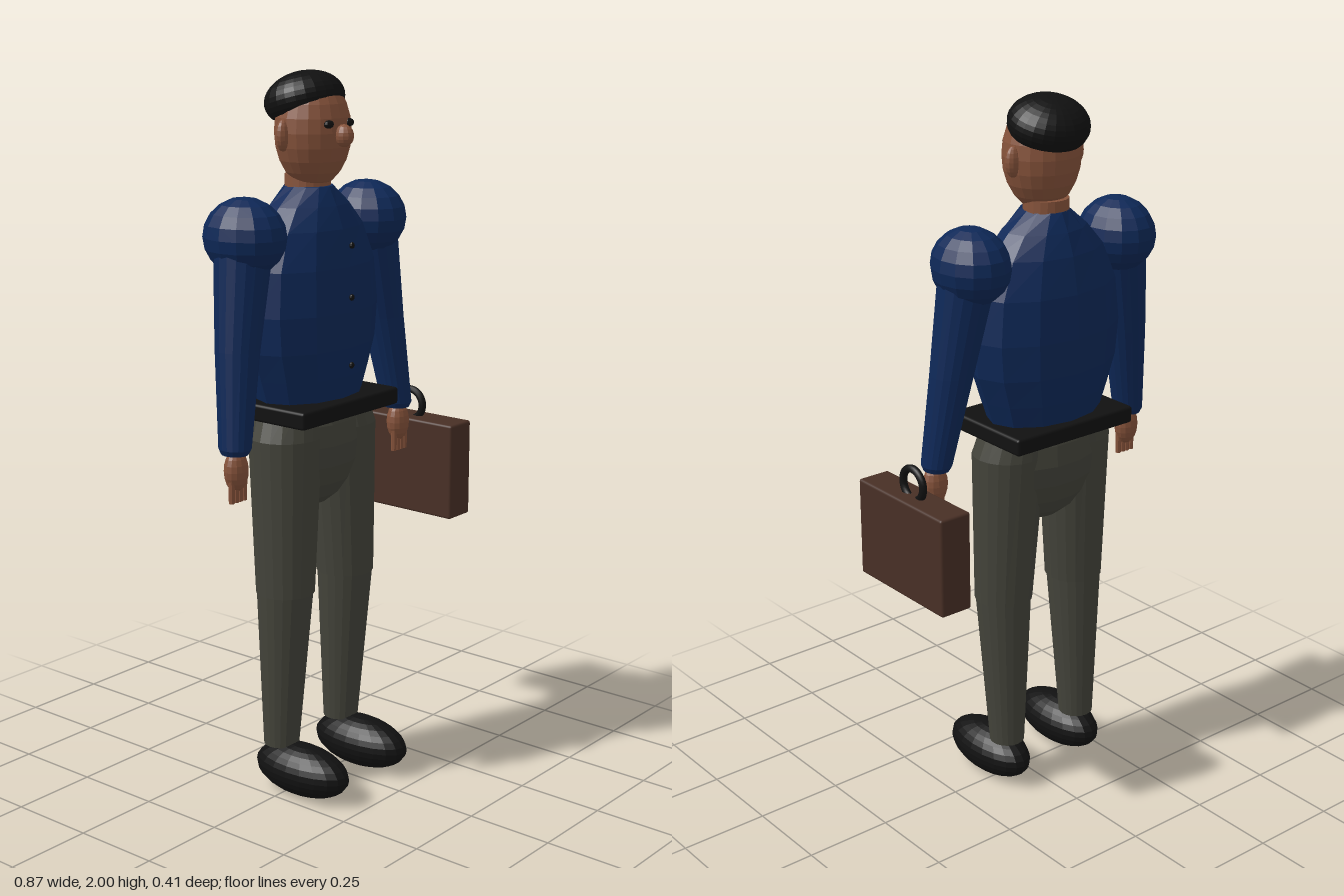
import * as THREE from 'three';
import { RoundedBoxGeometry } from 'three/addons/geometries/RoundedBoxGeometry.js';

const mat = (name, color) => Object.assign(new THREE.MeshStandardMaterial({ color }), { name });

// Faceted normals
function facet(geo) {
  const g = geo.index ? geo.toNonIndexed() : geo;
  g.computeVertexNormals();
  return g;
}

// Closed skin over elliptical rings [x, y, z, rx, rz], listed from top to bottom
function loft(rings, seg) {
  const first = rings[0], last = rings[rings.length - 1];
  const all = [[...first.slice(0, 3), 0, 0], ...rings, [...last.slice(0, 3), 0, 0]];
  const pos = [], idx = [];
  all.forEach(([x, y, z, rx, rz], i) => {
    for (let j = 0; j < seg; j++) {
      const a = (j / seg) * Math.PI * 2;
      pos.push(x + Math.sin(a) * rx, y, z + Math.cos(a) * rz);
      if (i === all.length - 1) continue;
      const A = i * seg + j, B = i * seg + ((j + 1) % seg);
      if (i > 0) idx.push(A, A + seg, B);
      if (i < all.length - 2) idx.push(B, A + seg, B + seg);
      else idx.pop(), idx.pop(), idx.pop(), idx.push(A, A + seg, B);
    }
  });
  const g = new THREE.BufferGeometry();
  g.setAttribute('position', new THREE.Float32BufferAttribute(pos, 3));
  g.setIndex(idx);
  return facet(g);
}

export function createModel() {
  const skin = mat('skin', 0x85523a);
  const shirt = mat('shirt blue', 0x0e2857);
  const cloth = mat('trouser grey', 0x43433a);
  const leather = mat('case brown', 0x482f25);
  const black = mat('black', 0x111111);

  const model = new THREE.Group();
  const person = new THREE.Group();
  person.name = 'person';
  person.position.x = -0.05;
  model.add(person);

  const add = (parent, name, geo, material, x = 0, y = 0, z = 0) => {
    const m = new THREE.Mesh(geo, material);
    m.name = name;
    m.position.set(x, y, z);
    parent.add(m);
    return m;
  };
  const ball = (rx, ry, rz, w = 16, h = 12, theta = Math.PI) =>
    facet(new THREE.SphereGeometry(1, w, h, 0, Math.PI * 2, 0, theta).scale(rx, ry, rz));

  // Head and neck
  add(person, 'head', ball(0.11, 0.15, 0.1, 20, 12), skin, 0, 1.843, -0.022);
  add(person, 'neck', facet(new THREE.CylinderGeometry(0.062, 0.065, 0.12, 20)), skin, 0, 1.67, -0.04);
  add(person, 'nose', ball(0.024, 0.03, 0.028, 12, 10), skin, 0, 1.837, 0.085);

  // Hair cap, tilted back, with a flat underside
  const hair = new THREE.Group();
  hair.name = 'hair';
  hair.position.set(0, 1.926, -0.05);
  hair.rotation.x = -0.28;
  const cut = Math.PI * 0.66;
  add(hair, 'hairCap', ball(0.114, 0.074, 0.106, 24, 12, cut), black);
  const under = facet(new THREE.CircleGeometry(Math.sin(cut), 24).rotateX(Math.PI / 2).scale(0.114, 1, 0.106));
  add(hair, 'hairUnderside', under, black, 0, Math.cos(cut) * 0.074, 0);
  person.add(hair);

  // Torso, belt and buttons
  const torso = [
    [1.7, 0.062, 0.07], [1.65, 0.125, 0.095], [1.59, 0.18, 0.117], [1.49, 0.225, 0.136],
    [1.37, 0.238, 0.144], [1.27, 0.228, 0.14], [1.19, 0.2, 0.13], [1.09, 0.165, 0.11],
  ].map(([y, rx, rz]) => [0, y, -0.035, rx, rz]);
  add(person, 'torso', loft(torso, 12), shirt);
  add(person, 'belt', new RoundedBoxGeometry(0.41, 0.048, 0.29, 2, 0.008), black, 0, 1.105, -0.029);
  for (const y of [1.55, 1.41, 1.225]) add(person, 'button', ball(0.009, 0.009, 0.006, 8, 6), black, 0, y, 0.113);

  // Hips
  add(person, 'hips', ball(0.175, 0.19, 0.115, 14, 10), cloth, 0, 1.0, -0.03);

  // Paired parts
  for (const s of [-1, 1]) {
    const side = s > 0 ? 'left' : 'right';
    add(person, side + 'Ear', ball(0.025, 0.042, 0.019, 12, 10), skin, s * 0.106, 1.838, -0.034);
    add(person, side + 'Eye', ball(0.017, 0.011, 0.01, 10, 8), black, s * 0.042, 1.868, 0.068);

    add(person, side + 'Shoulder', ball(0.101, 0.105, 0.118, 14, 10), shirt, s * 0.254, 1.587, -0.04);
    const arm = [
      [s * 0.262, 1.57, -0.038, 0.08, 0.078], [s * 0.307, 1.3, -0.022, 0.06, 0.06],
      [s * 0.346, 1.045, 0, 0.041, 0.046], [s * 0.347, 1.03, 0, 0.034, 0.038],
    ];
    add(person, side + 'Sleeve', loft(arm, 18), shirt);

    const hand = new THREE.Group();
    hand.name = side + 'Hand';
    hand.position.set(s * 0.348, 0, 0.005);
    add(hand, 'palm', ball(0.037, 0.057, 0.03, 14, 10), skin, 0, 0.986, 0);
    for (let i = 0; i < 4; i++) {
      add(hand, 'finger', facet(new THREE.CylinderGeometry(0.009, 0.008, 0.06, 8)), skin, (i - 1.5) * 0.016, 0.932, 0.005);
    }
    person.add(hand);

    const thigh = [
      [s * 0.105, 1.1, -0.03, 0.09, 0.09], [s * 0.117, 1.03, -0.025, 0.103, 0.1],
      [s * 0.13, 0.59, -0.016, 0.082, 0.082],
    ];
    const shin = [[s * 0.131, 0.605, -0.016, 0.079, 0.08], [s * 0.132, 0.135, -0.032, 0.05, 0.05]];
    add(person, side + 'Thigh', loft(thigh, 20), cloth);
    add(person, side + 'Shin', loft(shin, 20), cloth);
    add(person, side + 'Shoe', ball(0.077, 0.073, 0.158, 20, 14), black, s * 0.132, 0.073, 0.045);
  }

  // Case with a ring handle
  const bag = new THREE.Group();
  bag.name = 'briefcase';
  bag.position.set(0.388, 0, -0.018);
  add(bag, 'caseBody', new RoundedBoxGeometry(0.097, 0.28, 0.368, 2, 0.007), leather, 0, 0.846, 0);
  add(bag, 'caseHandle', new THREE.TorusGeometry(0.044, 0.011, 10, 28).rotateY(Math.PI / 2), black, 0, 1.017, 0);
  model.add(bag);

  return model;
}
